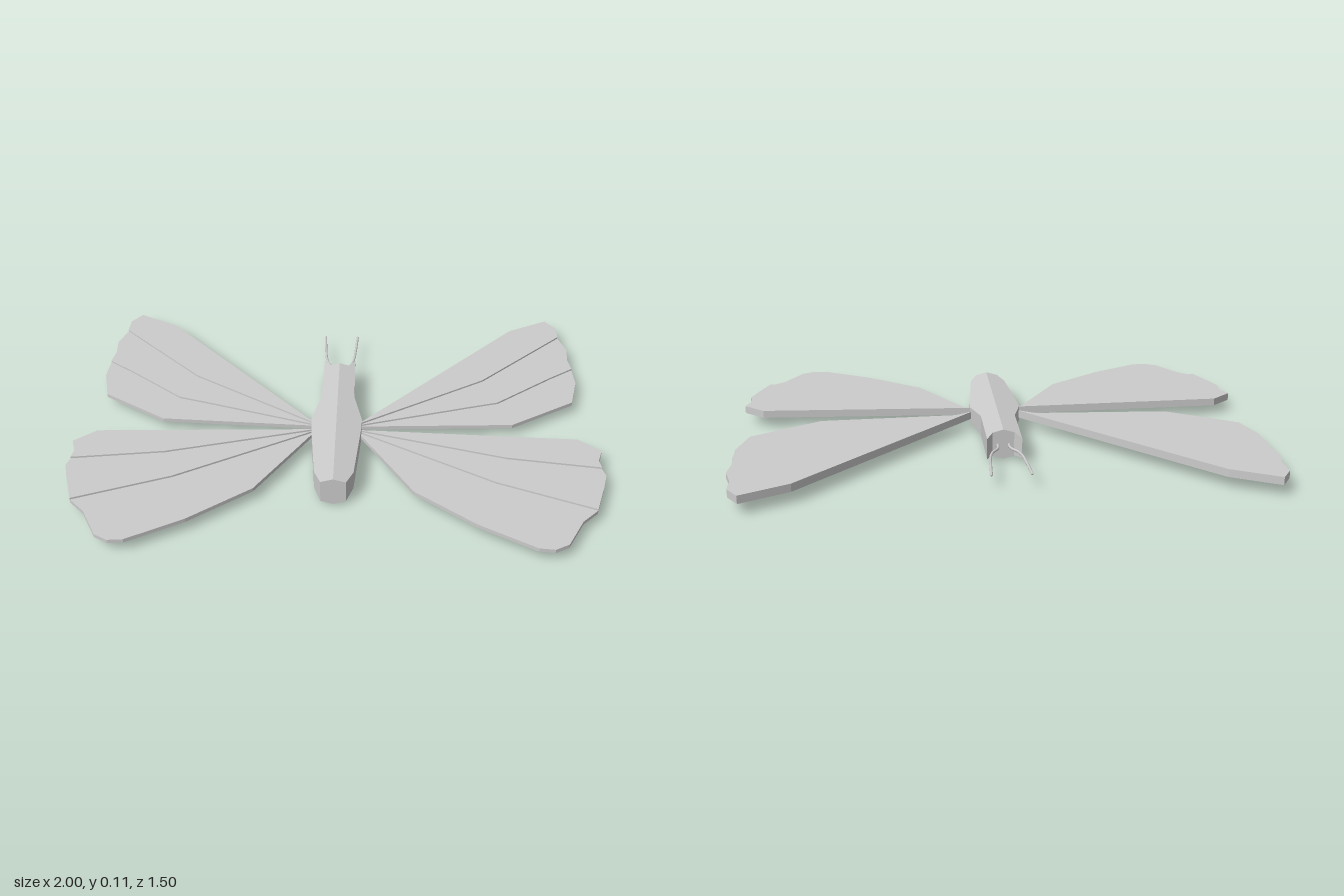
import * as THREE from 'three';

const material = new THREE.MeshStandardMaterial({ color: 0xcccccc, flatShading: true });
const smooth = new THREE.MeshStandardMaterial({ color: 0xcccccc });

// Flat slab from [x, z] plan points, between two heights; side = -1 mirrors it
function slab(points, side, y0, y1) {
  const shape = new THREE.Shape(points.map(([x, z]) => new THREE.Vector2(x * side, -z)));
  const geo = new THREE.ExtrudeGeometry(shape, { depth: y1 - y0, bevelEnabled: false });
  return geo.rotateX(-Math.PI / 2).translate(0, y0, 0);
}

// Wings: lines fan out from the root; edges[i] joins the tips of line i and line i + 1
const WING_BOTTOM = 0.04;
const foreWing = {
  root: [0.085, 0.063],
  lines: [
    [[0.74, -0.66], [0.905, -0.75]],
    [[0.59, -0.26], [0.72, -0.39], [0.945, -0.615]],
    [[0.54, -0.08], [0.64, -0.11], [0.87, -0.295], [0.972, -0.37]],
    [[0.685, 0.033]],
  ],
  edges: [
    [[0.945, -0.69]],
    [[0.972, -0.52], [0.963, -0.44]],
    [[0.975, -0.27], [0.94, -0.13]],
  ],
  tops: [0.069, 0.062, 0.055],
};
const hindWing = {
  root: [0.085, 0.105],
  lines: [
    [[0.92, 0.14]],
    [[0.35, 0.18], [0.64, 0.262], [0.985, 0.31]],
    [[0.59, 0.40], [0.935, 0.54]],
    [[0.29, 0.455], [0.51, 0.63], [0.705, 0.743]],
  ],
  edges: [
    [[1.0, 0.21], [0.98, 0.27]],
    [[0.995, 0.35], [0.975, 0.42], [0.955, 0.48]],
    [[0.875, 0.60], [0.81, 0.72], [0.76, 0.748]],
  ],
  tops: [0.069, 0.062, 0.055],
};

// Stepped panels, highest at the leading edge
function makeWing({ root, lines, edges, tops }, side, name) {
  const wing = new THREE.Group();
  wing.name = name;
  tops.forEach((top, i) => {
    const outline = [root, ...lines[i], ...edges[i], ...[...lines[i + 1]].reverse()];
    const panel = new THREE.Mesh(slab(outline, side, WING_BOTTOM, top), material);
    panel.name = 'wingPanel';
    wing.add(panel);
  });
  return wing;
}

// Half body: plan outline whose top and bottom slope away from the centre ridge
function makeBodyHalf(side) {
  const outline = [
    [0, -0.303], [0.04, -0.303], [0.064, -0.352], [0.066, -0.08], [0.098, 0.06],
    [0.096, 0.12], [0.072, 0.4], [0.046, 0.468], [0, 0.468],
  ];
  const geo = slab(outline, side, 0, 1);
  const p = geo.attributes.position;
  for (let i = 0; i < p.count; i++) {
    const slope = 0.28 * Math.abs(p.getX(i));
    p.setY(i, p.getY(i) > 0.5 ? 0.113 - slope : slope);
  }
  geo.computeVertexNormals();
  const mesh = new THREE.Mesh(geo, material);
  mesh.name = 'bodyHalf';
  return mesh;
}

// Curved antenna with a closed tip
function makeAntenna(side) {
  const antenna = new THREE.Group();
  antenna.name = 'antenna';
  const path = [[0.022, -0.28], [0.023, -0.34], [0.047, -0.385], [0.058, -0.43], [0.064, -0.5], [0.07, -0.605]];
  const points = path.map(([x, z]) => new THREE.Vector3(x * side, 0.055, z));
  const stalk = new THREE.Mesh(new THREE.TubeGeometry(new THREE.CatmullRomCurve3(points), 24, 0.005, 8), smooth);
  stalk.name = 'antennaStalk';
  const tip = new THREE.Mesh(new THREE.SphereGeometry(0.005, 8, 6), smooth);
  tip.name = 'antennaTip';
  tip.position.copy(points[points.length - 1]);
  antenna.add(stalk, tip);
  return antenna;
}

export function createModel() {
  const model = new THREE.Group();
  model.name = 'butterfly';
  const body = new THREE.Group();
  body.name = 'body';
  model.add(body);
  for (const side of [1, -1]) {
    const label = side > 0 ? 'left' : 'right';
    body.add(makeBodyHalf(side));
    model.add(makeWing(foreWing, side, label + 'ForeWing'));
    model.add(makeWing(hindWing, side, label + 'HindWing'));
    model.add(makeAntenna(side));
  }
  return model;
}
